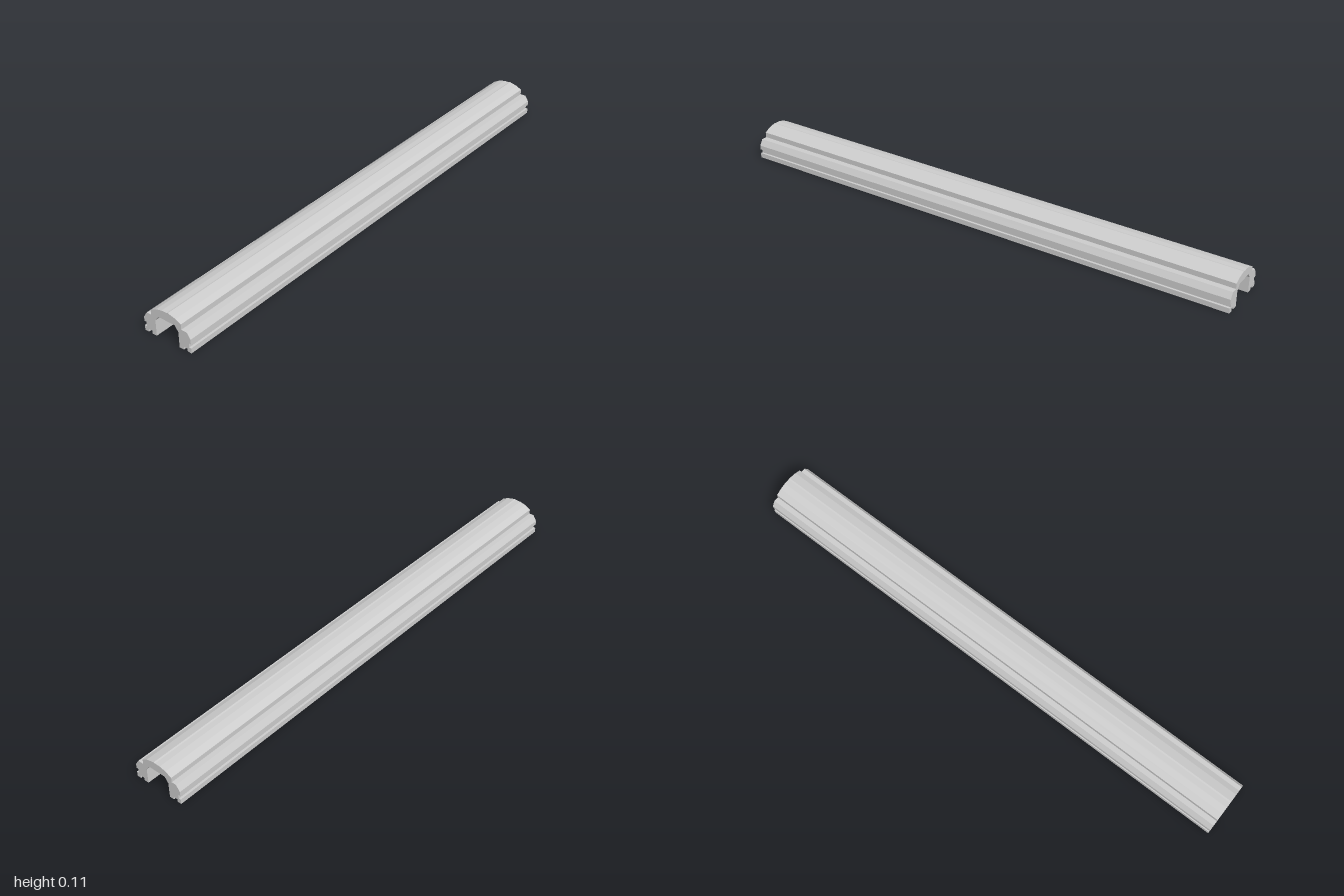
import * as THREE from 'three';

// Half of the rail section, from the channel roof down the leg and up the outside
const side = [
  [0.035, 0.079], [0.049, 0.059], [0.049, 0],       // channel wall
  [0.0675, 0], [0.0675, 0.011], [0.0835, 0.011], [0.0835, 0], // bottom groove
  [0.0995, 0], [0.0995, 0.019], [0.091, 0.019], [0.091, 0.035], [0.0995, 0.035], // side groove
  [0.0995, 0.052], [0.0855, 0.074],                 // chamfered shoulder
];

// Shallow domed top, running from +x to -x
const crown = [
  [0.063, 0.074], [0.063, 0.094], [0.042, 0.105], [0.01, 0.113], [0.004, 0.1115],
  [-0.017, 0.111], [-0.042, 0.105], [-0.066, 0.092], [-0.066, 0.074],
];

export function createModel() {
  const group = new THREE.Group();
  group.name = 'channelRail';

  const mirrored = side.map(([x, y]) => [-x, y]).reverse();
  const outline = [...side, ...crown, ...mirrored].map(([x, y]) => new THREE.Vector2(x, y));

  // The section is swept along the whole length, open at both ends
  const geometry = new THREE.ExtrudeGeometry(new THREE.Shape(outline), { depth: 2, bevelEnabled: false });
  geometry.translate(0, 0, -1);

  const rail = new THREE.Mesh(
    geometry,
    new THREE.MeshStandardMaterial({ color: 0xcccccc, flatShading: true }),
  );
  rail.name = 'railProfile';
  group.add(rail);
  return group;
}
